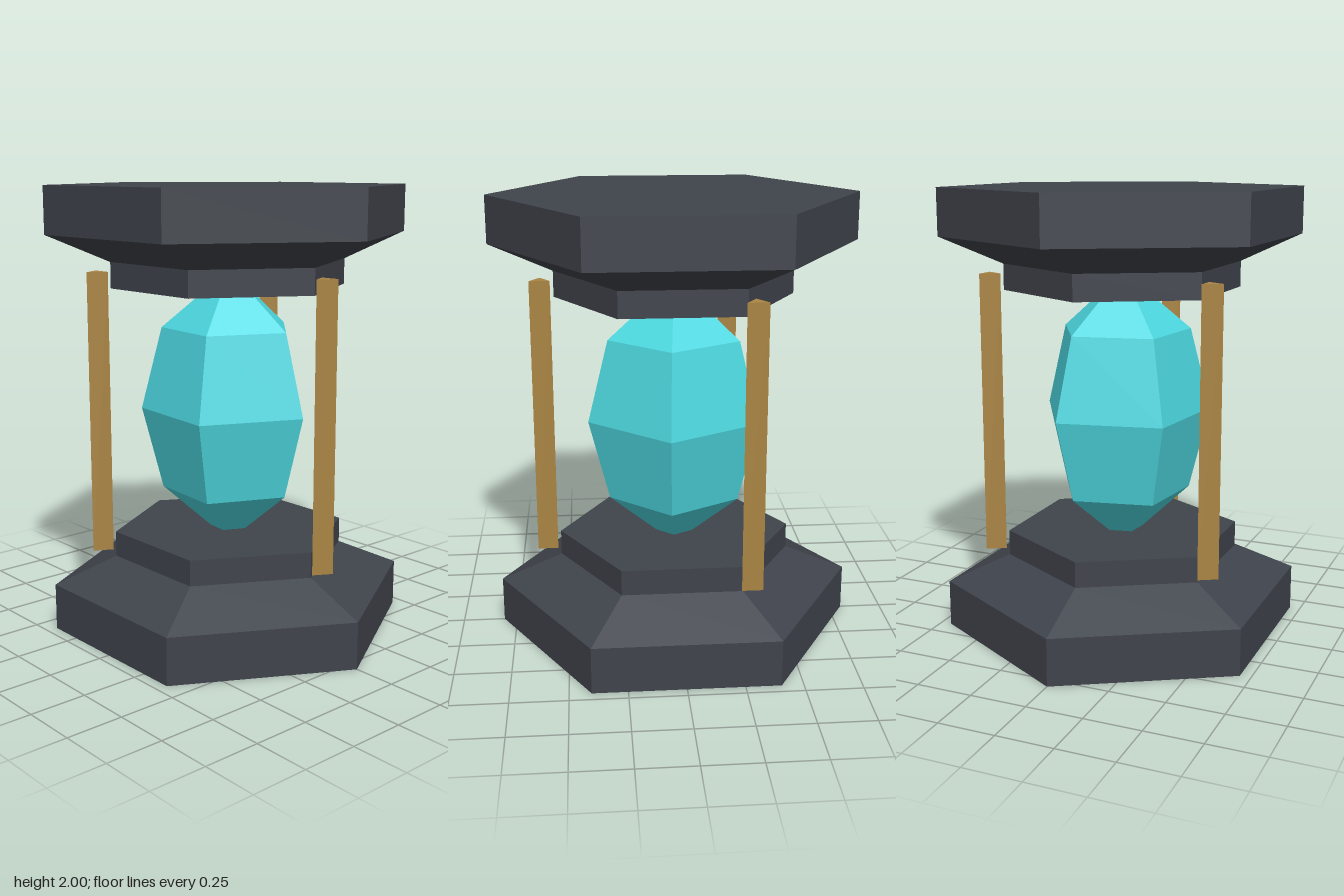
import * as THREE from 'three';

const stone = new THREE.MeshStandardMaterial({ name: 'dark stone', color: 0x3f434b, flatShading: true });
const crystal = new THREE.MeshStandardMaterial({ name: 'turquoise crystal', color: 0x4dd8e0, flatShading: true });
const brass = new THREE.MeshStandardMaterial({ name: 'aged brass', color: 0xaa8442, flatShading: true });

// Faceted solid of revolution; profile runs from bottom to top
function faceted(name, profile, sides, startAngle, material) {
  const points = profile.map(([r, y]) => new THREE.Vector2(r, y));
  const geometry = new THREE.LatheGeometry(points, sides, startAngle).toNonIndexed();
  geometry.computeVertexNormals();
  const mesh = new THREE.Mesh(geometry, material);
  mesh.name = name;
  return mesh;
}

export function createModel() {
  const model = new THREE.Group();
  model.name = 'crystalPedestal';

  // Stepped hexagonal base and its mirrored cap
  const base = [[0, 0], [0.81, 0], [0.81, 0.21], [0.53, 0.33], [0.53, 0.445], [0, 0.445]];
  const cap = base.map(([r, y]) => [r, 2 - y]).reverse();
  model.add(faceted('base', base, 6, Math.PI / 6, stone));
  model.add(faceted('cap', cap, 6, Math.PI / 6, stone));

  // Five-sided crystal, its tips sunk into the base and cap
  const gem = [[0, 0.37], [0.306, 0.63], [0.4, 1], [0.306, 1.37], [0, 1.63]];
  model.add(faceted('crystal', gem, 5, THREE.MathUtils.degToRad(29.6), crystal));

  // Three triangular posts, all turned the same way
  const postGeometry = new THREE.CylinderGeometry(0.053, 0.053, 1.26, 3);
  for (let i = 0; i < 3; i++) {
    const angle = (i * Math.PI * 2) / 3;
    const post = new THREE.Mesh(postGeometry, brass);
    post.name = `post${i + 1}`;
    post.position.set(0.59 * Math.cos(angle), 1, 0.59 * Math.sin(angle));
    model.add(post);
  }
  return model;
}
